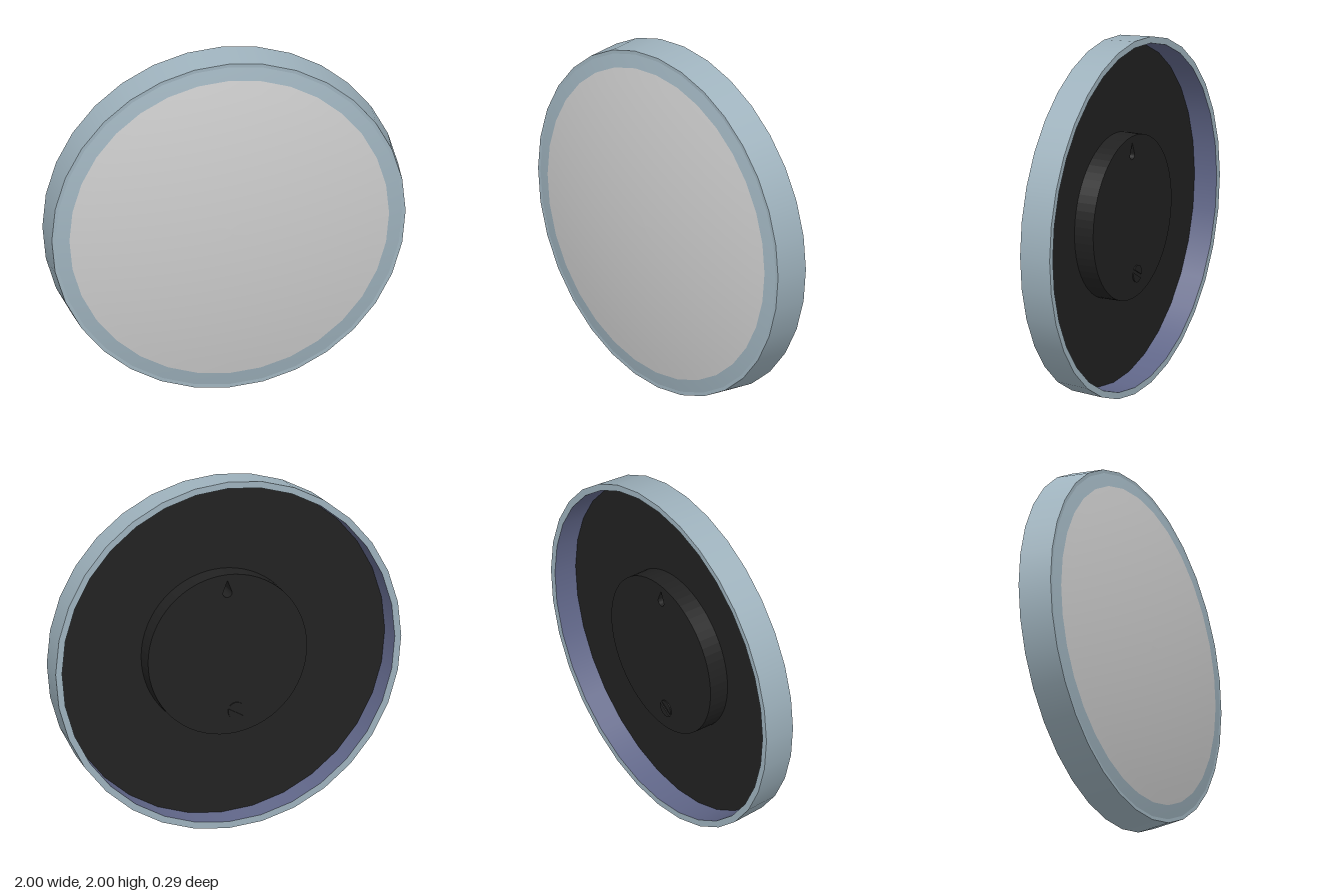
import * as THREE from 'three';

const mat = (name, color, side = THREE.FrontSide) =>
  Object.assign(new THREE.MeshStandardMaterial({ color, side }), { name });

export function createModel() {
  const group = new THREE.Group();
  group.name = 'roundWallFixture';
  const casing = mat('casing blue grey', 0x9fb3be);
  const cover = mat('cover light grey', 0xcccccc);
  const lining = mat('lining slate', 0x5f6587);
  const black = mat('backing black', 0x212121);

  const body = new THREE.Group();
  body.name = 'body';
  body.position.y = 1;
  group.add(body);

  const add = (name, geometry, material, x = 0, y = 0, z = 0) => {
    const mesh = new THREE.Mesh(geometry, material);
    mesh.name = name;
    mesh.position.set(x, y, z);
    body.add(mesh);
    return mesh;
  };
  // Turn a profile of [radius, z] points around the z axis
  const turn = (name, profile, material, segments = 32) =>
    add(name, new THREE.LatheGeometry(profile.map(([r, z]) => new THREE.Vector2(r, z)), segments)
      .rotateX(Math.PI / 2), material);

  // Shallow spherical front, split by colour at r = 0.89
  const R = 4.7;
  const capZ = (r) => 0.145 - R + Math.sqrt(R * R - r * r);
  const cap = (r0, r1, n) => Array.from({ length: n + 1 }, (_, i) => {
    const r = r0 + ((r1 - r0) * i) / n;
    return [r, capZ(r)];
  });

  // Casing
  turn('casingSide', [[1, -0.145], [0.985, 0.045]], casing);
  turn('frontLip', [[0.985, 0.045], [0.965, capZ(0.965)]], casing);
  turn('frontRing', cap(0.965, 0.89, 3), casing);
  turn('frontCover', cap(0.89, 0, 12), cover);
  turn('backRim', [[0.963, -0.145], [1, -0.145]], casing);
  turn('innerWall', [[0.95, -0.015], [0.963, -0.145]], lining);
  turn('backPlate', [[0, -0.015], [0.95, -0.015]], black);

  // Raised mounting hub with a teardrop hanging slot
  const hubShape = new THREE.Shape().absarc(0, 0, 0.46, 0, Math.PI * 2);
  const slot = new THREE.Path();
  slot.moveTo(0, 0.425);
  slot.lineTo(-0.025, 0.36);
  slot.absarc(0, 0.355, 0.027, Math.PI, Math.PI * 2, false);
  slot.lineTo(0, 0.425);
  hubShape.holes.push(slot);
  add('mountingHub', new THREE.ExtrudeGeometry(hubShape,
    { depth: 0.115, bevelEnabled: false, curveSegments: 32 }), black, 0, 0, -0.13);

  // Slotted screw: two half discs with a gap between them
  const screw = new THREE.Group();
  screw.name = 'screw';
  screw.position.set(-0.05, -0.33, -0.137);
  screw.rotation.z = 0.5;
  body.add(screw);
  const half = new THREE.Shape().absarc(0, 0, 0.048, 0.2, Math.PI - 0.2);
  const halfGeometry = new THREE.ExtrudeGeometry(half,
    { depth: 0.008, bevelEnabled: false, curveSegments: 10 });
  for (const turnAngle of [0, Math.PI]) {
    const mesh = new THREE.Mesh(halfGeometry, black);
    mesh.name = 'screwHalf';
    mesh.rotation.z = turnAngle;
    screw.add(mesh);
  }
  return group;
}
